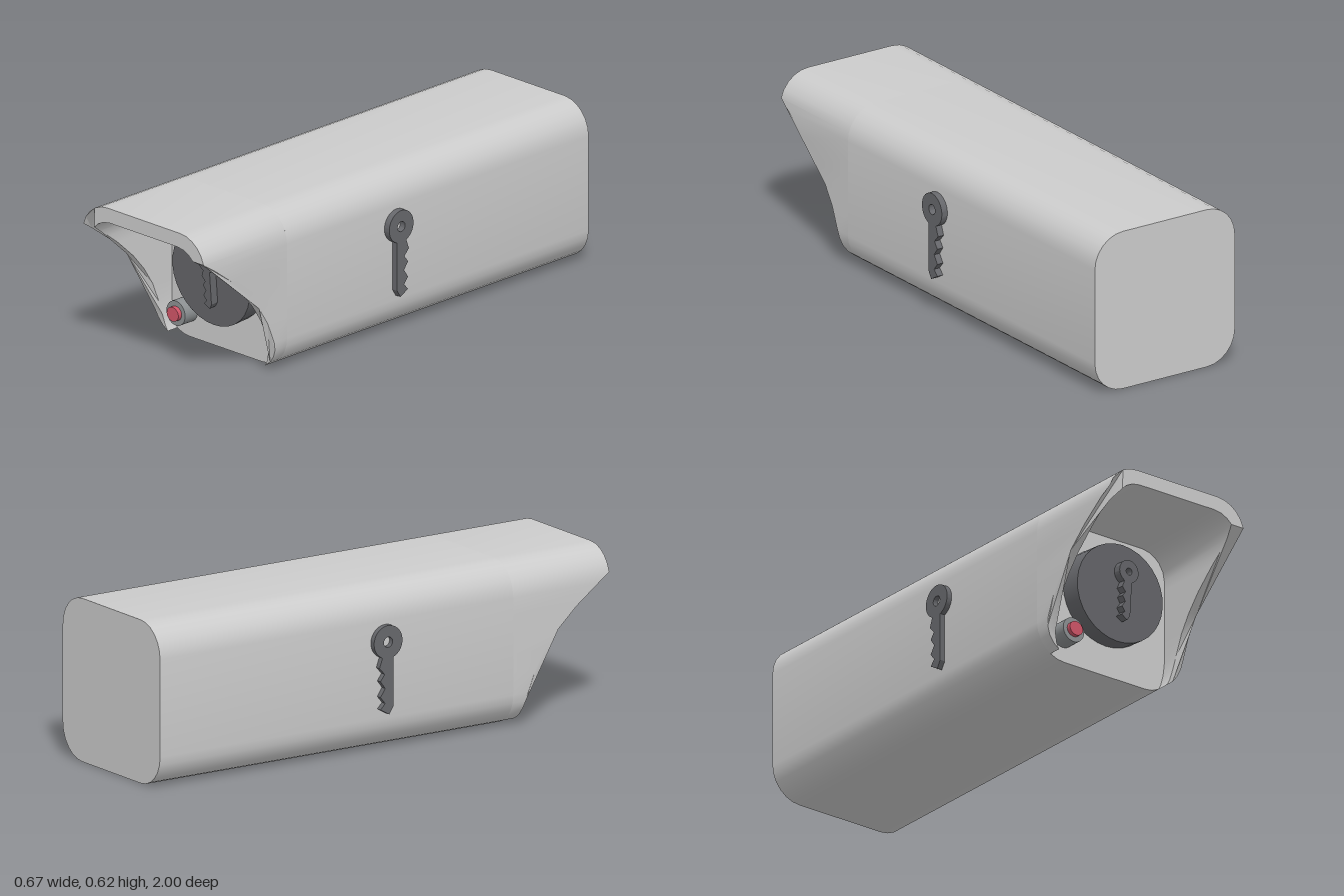
import * as THREE from 'three';
import { toCreasedNormals } from 'three/addons/utils/BufferGeometryUtils.js';

const mat = (color) => new THREE.MeshStandardMaterial({ color });
const GREY = mat(0xcccccc), DARK = mat(0x67686c), MID = mat(0x8c9092), RED = mat(0xd05568);
const FACE_Z = 0.57;

function mesh(name, geometry, material, parent) {
  const m = new THREE.Mesh(geometry, material);
  m.name = name;
  parent.add(m);
  return m;
}

// points on a circle at the given angles in degrees
const arc = (cx, cy, r, degrees) => degrees.map((d) => {
  const a = THREE.MathUtils.degToRad(d);
  return new THREE.Vector2(cx + r * Math.cos(a), cy + r * Math.sin(a));
});
const mirrored = (pts) => pts.map((p) => new THREE.Vector2(-p.x, p.y)).reverse();
const side = (x, ys) => ys.map((y) => new THREE.Vector2(x, y));

const R = 0.125, CX = 0.188, TOP = 0.493;
const sideYs = [0.21, 0.28, 0.345, 0.42];

// closed rounded body
function bodyGeometry() {
  const half = [
    ...arc(CX, R, R, [-90, -75, -60, -45, -30, -15, 0]),
    ...arc(CX, TOP, R, [0, 15, 30, 45, 60, 75, 90]),
  ];
  const shape = new THREE.Shape([...half, ...mirrored(half)]);
  const g = new THREE.ExtrudeGeometry(shape, { depth: FACE_Z + 1, bevelEnabled: false });
  return toCreasedNormals(g.translate(0, 0, -1), 0.5);
}

// thin sunshade around the face, its front edge swept back towards the bottom
function hoodGeometry() {
  const outer = [
    ...arc(CX, R, R, [-60, -45, -30, -15, 0]),
    ...side(CX + R, sideYs),
    ...arc(CX, TOP, R, [0, 14.8, 30, 45, 60, 75, 90]),
  ];
  const inner = [
    new THREE.Vector2(0.262, 0.04), new THREE.Vector2(0.272, 0.08),
    ...side(0.278, [0.13, ...sideYs]),
    ...arc(0.173, 0.457, 0.105, [0, 20, 40.4, 55, 72, 90]),
  ];
  const shape = new THREE.Shape([
    ...outer, ...mirrored(outer), ...[...inner, ...mirrored(inner)].reverse(),
  ]);
  const g = new THREE.ExtrudeGeometry(shape, { depth: 1, bevelEnabled: false });
  const p = g.attributes.position;
  for (let i = 0; i < p.count; i++) {
    const t = Math.max(0, (0.525 - p.getY(i)) / 0.525);
    const front = 0.62 + 0.38 * Math.pow(1 - t, 2.2);
    p.setZ(i, p.getZ(i) > 0.5 ? front : FACE_Z);
  }
  return toCreasedNormals(g, 0.45);
}

// key emblem: round bow with a hole, and a shaft notched on one edge
function makeKey(name, r, depth) {
  const key = new THREE.Group();
  key.name = name;
  const shape = new THREE.Shape();
  const start = THREE.MathUtils.degToRad(-69.5), end = THREE.MathUtils.degToRad(246);
  shape.absarc(0, 0, 1, start, end, false);
  const teeth = [[-0.62, -1.5], [-0.25, -1.9], [-0.55, -2.3], [-0.22, -2.75], [-0.55, -3.25],
    [-0.22, -3.65], [-0.55, -4.0], [0.07, -4.35], [0.35, -3.9]];
  teeth.forEach(([x, y]) => shape.lineTo(x, y));
  shape.closePath();
  const hole = new THREE.Path();
  hole.absarc(0, 0, 0.31, 0, Math.PI * 2, true);
  shape.holes.push(hole);
  const g = new THREE.ExtrudeGeometry(shape, { depth: depth / r, bevelEnabled: false, curveSegments: 24 });
  mesh(name + 'Plate', toCreasedNormals(g.scale(r, r, r), 0.5), DARK, key);
  return key;
}

// cylinder along z between two depths
function disc(r, z0, z1, segments = 32) {
  return new THREE.CylinderGeometry(r, r, z1 - z0, segments)
    .rotateX(Math.PI / 2).translate(0, 0, (z0 + z1) / 2);
}

export function createModel() {
  const model = new THREE.Group();
  model.name = 'securityCamera';

  const housing = new THREE.Group();
  housing.name = 'housing';
  housing.position.x = -0.003;
  model.add(housing);
  mesh('body', bodyGeometry(), GREY, housing);
  mesh('hood', hoodGeometry(), GREY, housing);

  // lens, tipped slightly downward, carrying the front emblem
  const lens = new THREE.Group();
  lens.name = 'lens';
  lens.position.set(0.003, 0.31, FACE_Z);
  lens.rotation.x = 0.08;
  model.add(lens);
  mesh('lensDisc', disc(0.198, -0.03, 0.085).scale(1, 0.955, 1), DARK, lens);
  const frontKey = makeKey('frontKey', 0.0435, 0.04);
  frontKey.position.set(0.012, 0.08, 0.077);
  lens.add(frontKey);

  // indicator lamp
  const lamp = new THREE.Group();
  lamp.name = 'indicatorLamp';
  lamp.position.set(-0.197, 0.106, 0);
  model.add(lamp);
  mesh('lampRing', disc(0.048, FACE_Z - 0.02, 0.635), MID, lamp);
  mesh('lampLight', disc(0.03, 0.6, 0.652).scale(1, 0.92, 1), RED, lamp);

  // emblems on both flanks
  [['rightKey', -0.293], ['leftKey', 0.335]].forEach(([name, x]) => {
    const key = makeKey(name, 0.063, 0.044);
    key.rotation.y = -Math.PI / 2;
    key.position.set(x, 0.415, 0);
    model.add(key);
  });
  return model;
}
